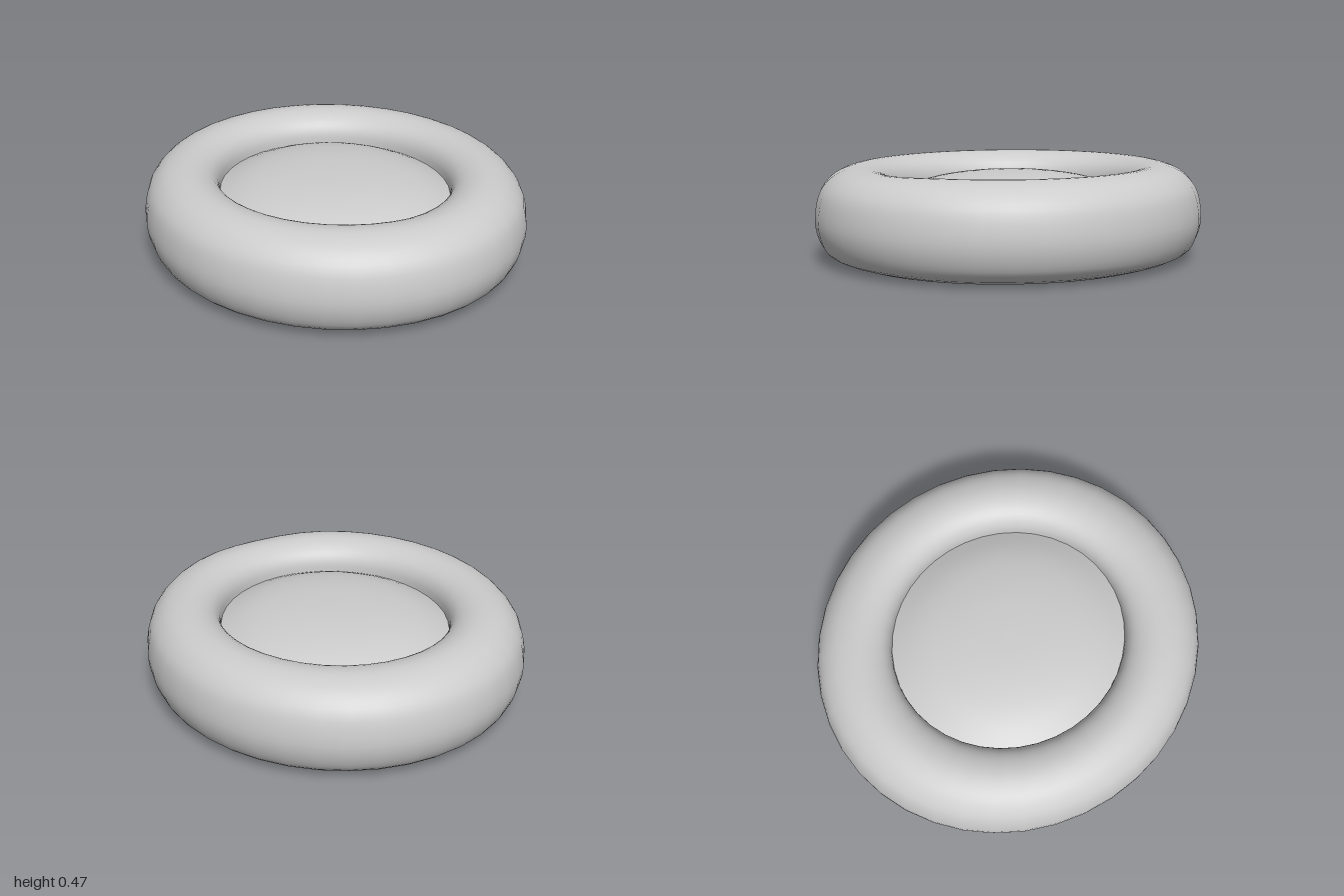
import * as THREE from 'three';

const DEPTH = 0.944; // the plan is slightly oval

// Spun surface from [radius, height] points, smooth and visible from both sides
function spun(name, points, steps) {
  const curve = new THREE.SplineCurve(points.map(([r, y]) => new THREE.Vector2(r, y)));
  const profile = curve.getPoints(steps);
  profile.forEach((p) => { p.x = Math.max(p.x, 0); });
  const geometry = new THREE.LatheGeometry(profile, 40);
  geometry.scale(1, 1, DEPTH);
  const material = new THREE.MeshStandardMaterial({ color: 0xcccccc, side: THREE.DoubleSide });
  const mesh = new THREE.Mesh(geometry, material);
  mesh.name = name;
  return mesh;
}

export function createModel() {
  const group = new THREE.Group();
  group.name = 'roundCushion';

  // Hollow puffed ring, open underneath, rolling in to the seat edge
  const ring = spun('ring', [
    [0.815, 0], [0.93, 0.04], [0.98, 0.11], [1, 0.21], [0.98, 0.33], [0.935, 0.4],
    [0.87, 0.447], [0.78, 0.471], [0.7, 0.46], [0.64, 0.425], [0.61, 0.375], [0.603, 0.322],
  ], 33);

  // Slight sag in the crown on the left side
  const pos = ring.geometry.attributes.position;
  for (let i = 0; i < pos.count; i++) {
    const x = pos.getX(i), y = pos.getY(i), z = pos.getZ(i);
    const side = Math.max(0, x) * Math.exp(-((z / 0.25) ** 2));
    pos.setY(i, y - 0.015 * side * THREE.MathUtils.smoothstep(y, 0.36, 0.46));
  }

  // Domed centre, steepest towards its edge
  const centre = spun('centrePad', [
    [0.603, 0.322], [0.5, 0.367], [0.38, 0.4], [0.2, 0.424], [0, 0.43],
  ], 12);

  group.add(ring, centre);
  return group;
}
